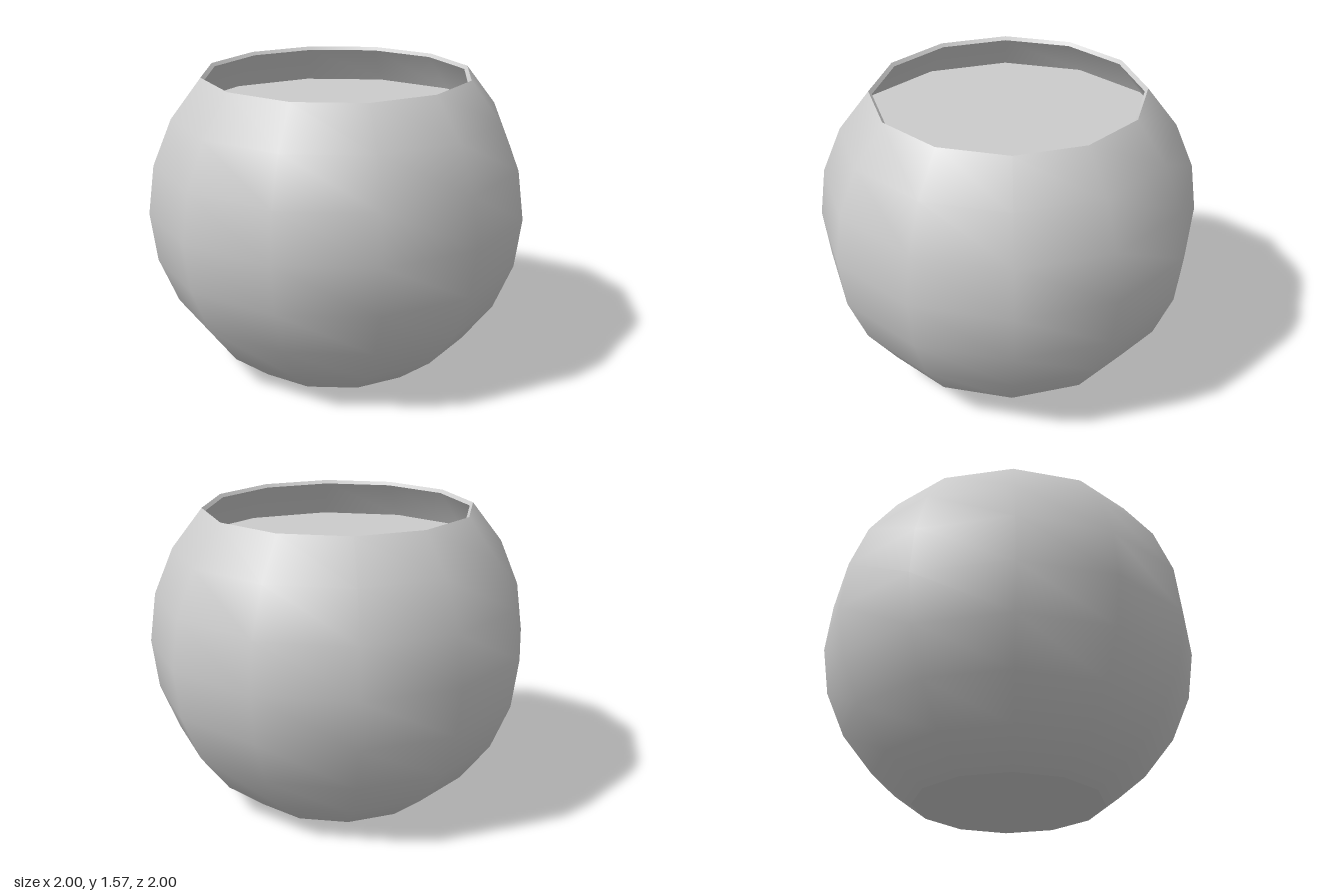
import * as THREE from 'three';

const SIDES = 12, R = 1, INNER = 0.976;
const TOP = Math.PI / 4, BOTTOM = Math.PI * 5 / 6, ROWS = 7;
const CENTRE_Y = -Math.cos(BOTTOM) * R;

// Point of a bowl profile at a polar angle measured from the top
const onBowl = (radius, a) => new THREE.Vector2(radius * Math.sin(a), radius * Math.cos(a));

export function createModel() {
  const model = new THREE.Group();
  const material = new THREE.MeshStandardMaterial({ color: 0xcccccc });

  const add = (name, geometry, y) => {
    const mesh = new THREE.Mesh(geometry, material);
    mesh.name = name;
    mesh.position.y = y;
    model.add(mesh);
  };

  // Outer glass: a smooth sphere cut off at top and bottom
  add('outerBowl', new THREE.SphereGeometry(R, SIDES, ROWS, 0, Math.PI * 2, TOP, BOTTOM - TOP), CENTRE_Y);

  // Flat base
  add('base', new THREE.CircleGeometry(R * Math.sin(BOTTOM), SIDES).rotateX(Math.PI / 2), 0);

  // Thin rim sloping inward across the glass thickness
  add('rim', new THREE.LatheGeometry([onBowl(R, TOP), onBowl(INNER, TOP)], SIDES), CENTRE_Y);

  // Inner glass, running down from the rim to the closed floor
  const inside = [];
  for (let i = 0; i <= ROWS; i++) inside.push(onBowl(INNER, TOP + (BOTTOM - TOP) * i / ROWS));
  inside.push(new THREE.Vector2(0, inside[ROWS].y));
  add('innerBowl', new THREE.LatheGeometry(inside, SIDES), CENTRE_Y);

  // Water surface, level with the second ring of the inner glass
  const level = onBowl(INNER, Math.PI / 3);
  add('waterSurface', new THREE.CircleGeometry(level.x, SIDES).rotateX(-Math.PI / 2), CENTRE_Y + level.y);

  return model;
}
